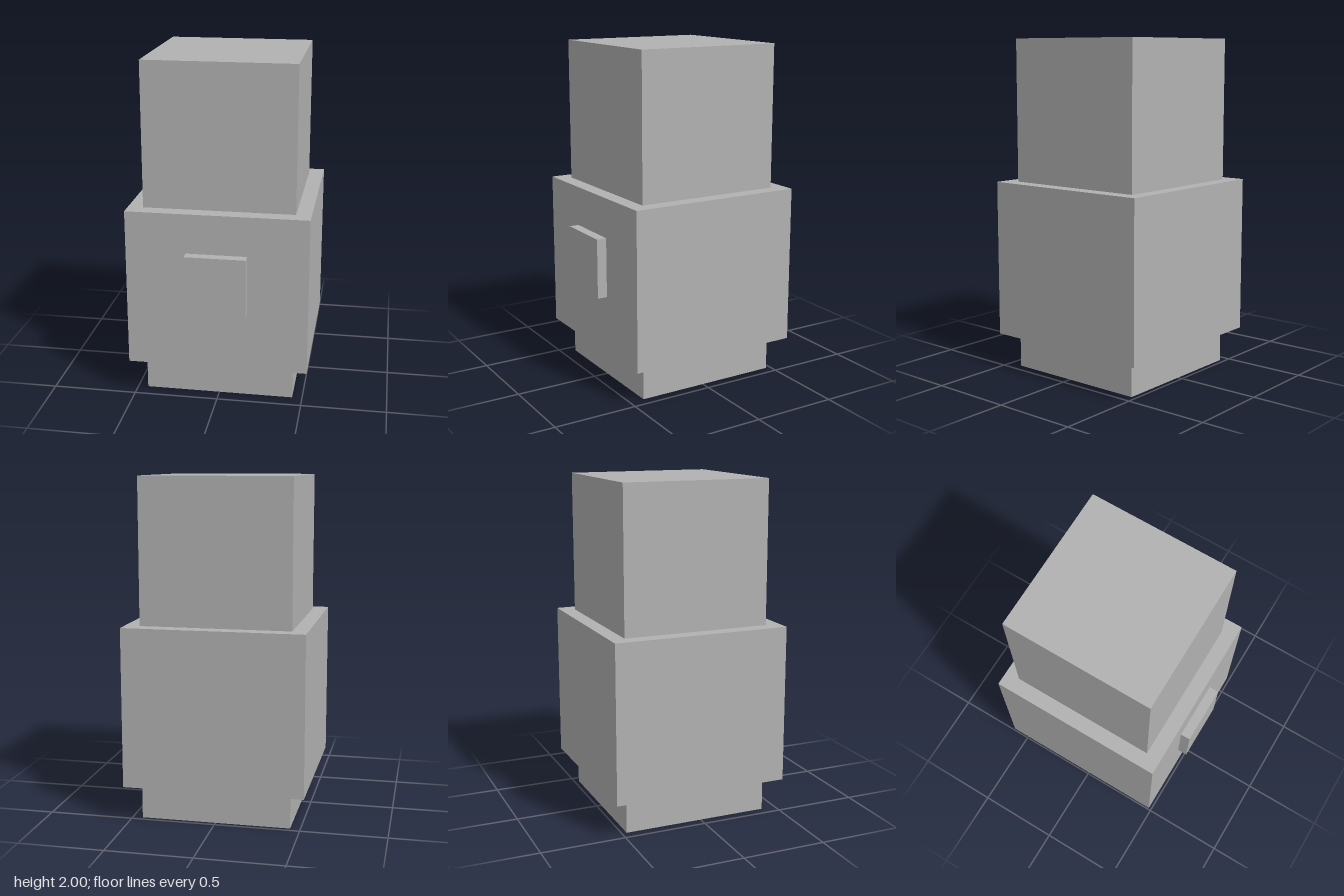
import * as THREE from 'three';

export function createModel() {
  const model = new THREE.Group();
  model.name = 'blockPillar';

  const grey = new THREE.MeshStandardMaterial({ color: 0xb2b2b2 });
  grey.name = 'grey';

  // Adds a box spanning y0..y1 and z0..z1, centred on x = 0
  function addBox(name, width, y0, y1, z0, z1) {
    const mesh = new THREE.Mesh(new THREE.BoxGeometry(width, y1 - y0, z1 - z0), grey);
    mesh.name = name;
    mesh.position.set(0, (y0 + y1) / 2, (z0 + z1) / 2);
    model.add(mesh);
  }

  // Square core showing as the foot below and the tall block above
  addBox('core', 0.882, 0, 2, -0.471, 0.411);
  // Wider sleeve around the core
  addBox('sleeve', 1.06, 0.21, 1.15, -0.559, 0.5);
  // Small raised plate on the front of the sleeve
  addBox('frontPlate', 0.354, 0.56, 0.915, 0.49, 0.559);

  return model;
}
